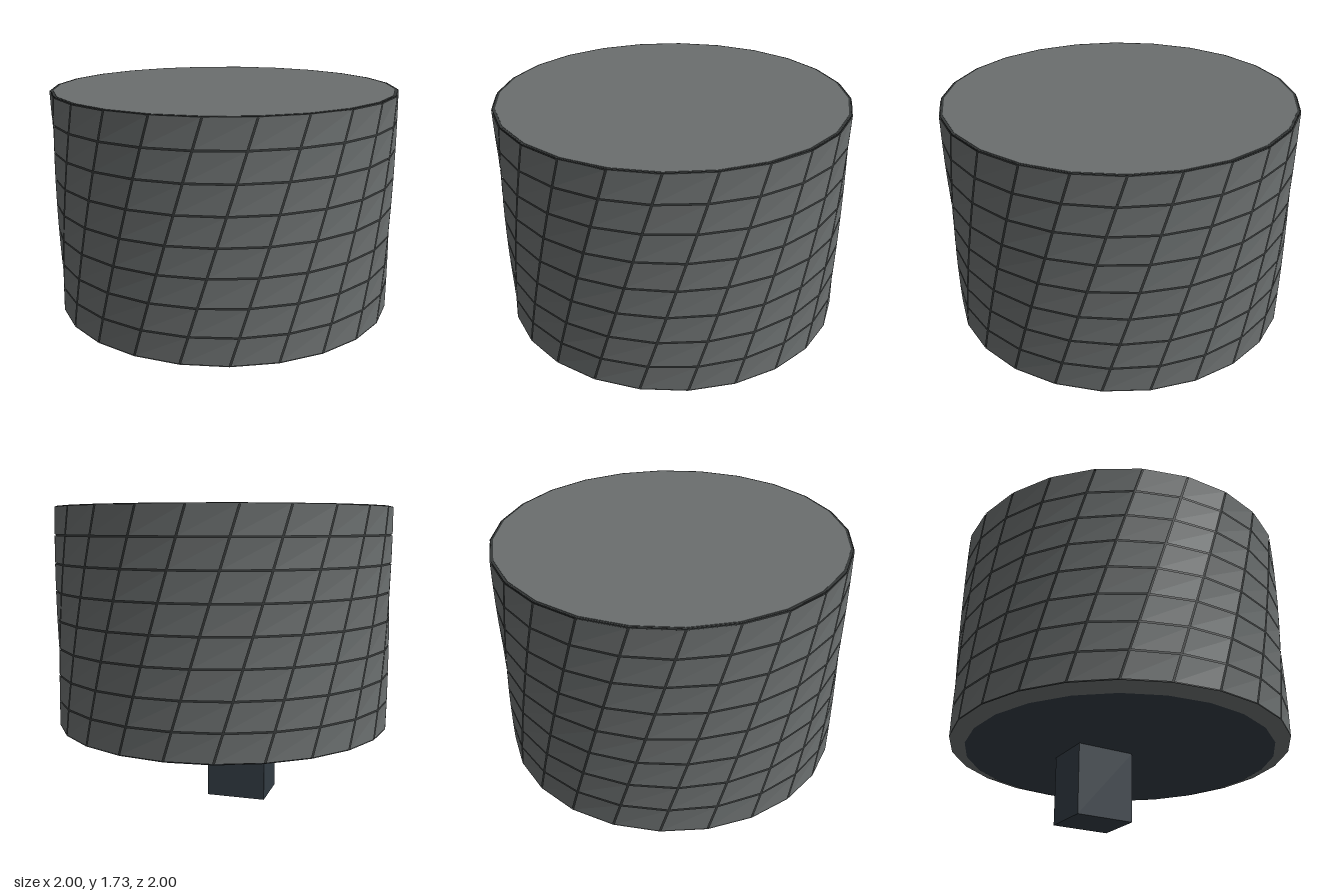
import * as THREE from 'three';

const SIDES = 24, ROWS = 8, BASE = 0.44, TOP = 1.73;
const STEP = (Math.PI * 2) / SIDES;
const TWIST = THREE.MathUtils.degToRad(22.5); // turn of the wall from bottom to top
const PHASE = THREE.MathUtils.degToRad(-16.5);

// Point on the twisted wall: u counts sides, v counts rows
function wallPoint(u, v, r) {
  const side = Math.floor(u), t = u - side;
  const corner = (i) => {
    const a = PHASE + i * STEP + (v / ROWS) * TWIST;
    return new THREE.Vector3(Math.sin(a) * r, BASE + (v / ROWS) * (TOP - BASE), Math.cos(a) * r);
  };
  return corner(side).lerp(corner(side + 1), t);
}

// Grid of separate quads, each inset by a gap
function wallGeometry(r, gapU, gapV) {
  const pos = [];
  for (let j = 0; j < ROWS; j++) {
    for (let i = 0; i < SIDES; i++) {
      const a = wallPoint(i + gapU, j + gapV, r);
      const b = wallPoint(i + 1 - gapU - 1e-6, j + gapV, r);
      const c = wallPoint(i + 1 - gapU - 1e-6, j + 1 - gapV, r);
      const d = wallPoint(i + gapU, j + 1 - gapV, r);
      for (const p of [a, b, c, a, c, d]) pos.push(p.x, p.y, p.z);
    }
  }
  const g = new THREE.BufferGeometry();
  g.setAttribute('position', new THREE.Float32BufferAttribute(pos, 3));
  g.computeVertexNormals();
  return g;
}

export function createModel() {
  const group = new THREE.Group();
  const make = (name, color, side = THREE.FrontSide) => {
    const m = new THREE.MeshStandardMaterial({ color, side, flatShading: true });
    m.name = name;
    return m;
  };
  const grey = make('panelGrey', 0x6a6e6e, THREE.DoubleSide);
  const seam = make('seamGrey', 0x353838, THREE.DoubleSide);
  const slate = make('slate', 0x323b43);
  const add = (name, geometry, material, x = 0, y = 0, z = 0) => {
    const mesh = new THREE.Mesh(geometry, material);
    mesh.name = name;
    mesh.position.set(x, y, z);
    group.add(mesh);
    return mesh;
  };

  // Twisted wall of panels over a dark core that shows in the seams
  add('wallPanels', wallGeometry(1, 0.018, 0.025), grey);
  add('wallCore', wallGeometry(0.992, 0, 0), seam);

  // Flat top with a narrow dark rim
  const topTurn = PHASE + TWIST;
  const rim = add('topRim', new THREE.CylinderGeometry(0.995, 0.995, 0.006, SIDES), seam, 0, TOP - 0.004);
  const lid = add('topDisc', new THREE.CylinderGeometry(0.98, 0.98, 0.006, SIDES), grey, 0, TOP - 0.002);
  rim.rotation.y = lid.rotation.y = topTurn;

  // Tapered lip and floor underneath
  const lip = add('bottomLip', new THREE.CylinderGeometry(1, 0.91, 0.03, SIDES, 1, true), grey, 0, BASE - 0.015);
  const floor = add('bottomDisc', new THREE.CylinderGeometry(0.91, 0.91, 0.008, SIDES), slate, 0, 0.414);
  lip.rotation.y = floor.rotation.y = PHASE;

  // Off-centre post
  add('post', new THREE.BoxGeometry(0.35, 0.41, 0.29), slate, -0.14, 0.205, -0.07);

  return group;
}
